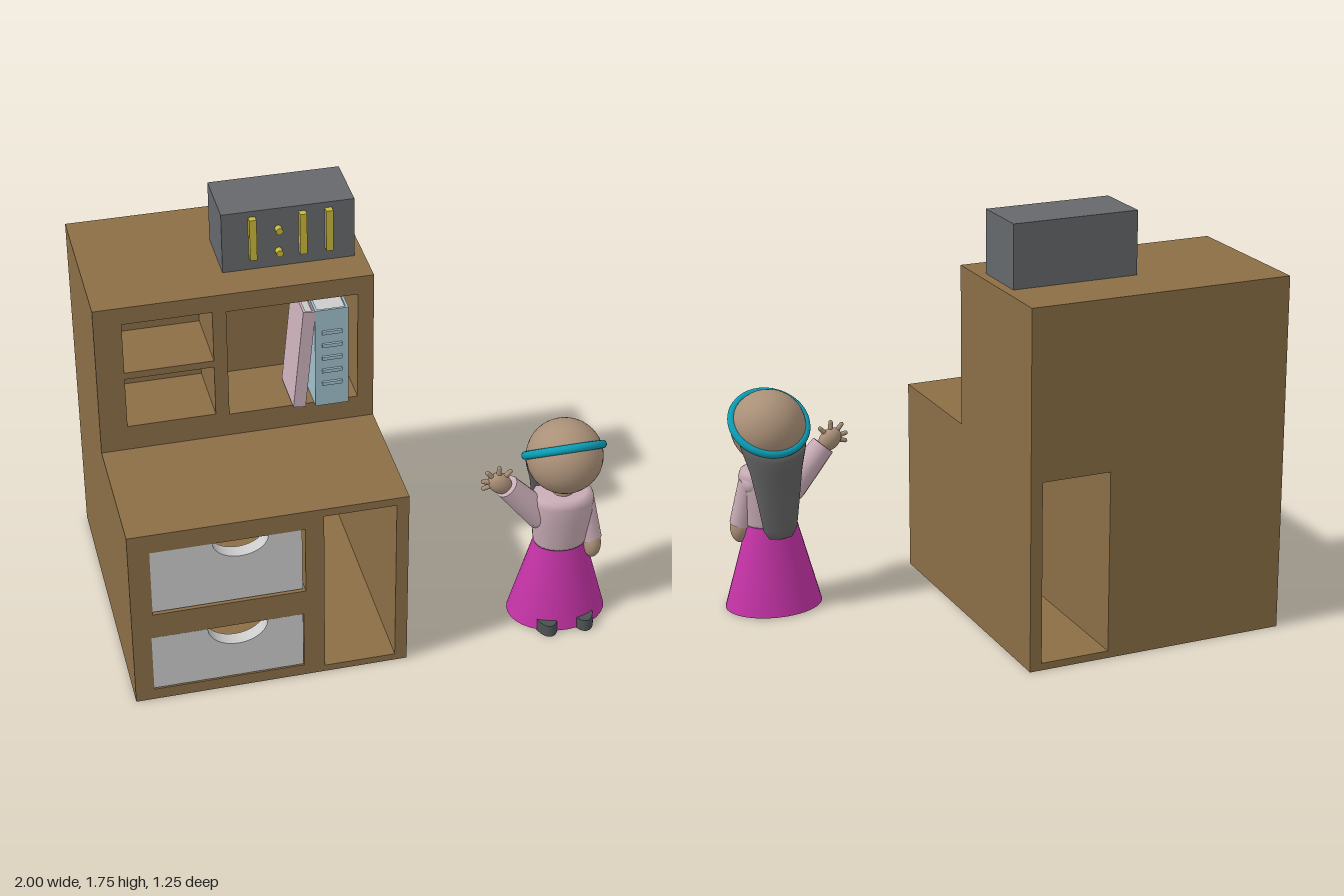
import * as THREE from 'three';

const paint = (color, side = THREE.FrontSide) => new THREE.MeshStandardMaterial({ color, side });
const WOOD = paint(0x8a6e46), GREY = paint(0xcccccc), SLATE = paint(0x65686b), YELLOW = paint(0xc8b83a);
const BLUE = paint(0xa0c0cc), PINK = paint(0xccb0bb), SKIN = paint(0xaa9078), HAIR = paint(0x626262, THREE.DoubleSide);
const BLOUSE = paint(0xc8abb5), SKIRT = paint(0xc433a6), BAND = paint(0x0a9db5), SHOE = paint(0x4c5052);

function add(parent, name, geometry, material, x = 0, y = 0, z = 0) {
  const mesh = new THREE.Mesh(geometry, material);
  mesh.name = name;
  mesh.position.set(x, y, z);
  parent.add(mesh);
  return mesh;
}

// Box given by its limits on each axis
const block = (parent, name, material, [x0, x1], [y0, y1], [z0, z1]) =>
  add(parent, name, new THREE.BoxGeometry(x1 - x0, y1 - y0, z1 - z0), material,
    (x0 + x1) / 2, (y0 + y1) / 2, (z0 + z1) / 2);

const rect = (Type, x0, x1, y0, y1) => new Type().setFromPoints(
  [[x0, y0], [x1, y0], [x1, y1], [x0, y1], [x0, y0]].map(p => new THREE.Vector2(...p)));

// Panel with rectangular openings, spanning z0 to z1
function slab(parent, name, outline, openings, z0, z1) {
  const shape = rect(THREE.Shape, ...outline);
  shape.holes = openings.map(o => rect(THREE.Path, ...o));
  return add(parent, name, new THREE.ExtrudeGeometry(shape, { depth: z1 - z0, bevelEnabled: false }), WOOD, 0, 0, z0);
}

// Tapered round limb from point a to point b
function limb(parent, name, material, a, b, ra, rb, sides = 16) {
  const p = new THREE.Vector3(...a), d = new THREE.Vector3(...b).sub(p);
  const mesh = add(parent, name, new THREE.CylinderGeometry(rb, ra, d.length(), sides), material);
  mesh.position.copy(p).addScaledVector(d, 0.5);
  mesh.quaternion.setFromUnitVectors(new THREE.Vector3(0, 1, 0), d.normalize());
  return mesh;
}

function ball(parent, name, material, pos, scale) {
  const mesh = add(parent, name, new THREE.SphereGeometry(1, 32, 24), material, ...pos);
  mesh.scale.set(...scale);
  return mesh;
}

// Round profile [radius, y], squeezed front to back
function turned(parent, name, material, profile, squeeze, x, z) {
  const geometry = new THREE.LatheGeometry(profile.map(p => new THREE.Vector2(...p)), 32);
  const mesh = add(parent, name, geometry, material, x, 0, z);
  mesh.scale.z = squeeze;
  return mesh;
}

// Closed loft through elliptical rings [y, z, rx, rz, slope]
function loft(rings, n = 28) {
  const pos = [], idx = [];
  for (const [y, z, rx, rz, slope] of rings)
    for (let j = 0; j < n; j++) {
      const a = j / n * Math.PI * 2, dz = rz * Math.sin(a);
      pos.push(rx * Math.cos(a), y + slope * dz, z + dz);
    }
  for (let i = 0; i < rings.length - 1; i++)
    for (let j = 0; j < n; j++) {
      const a = i * n + j, b = i * n + (j + 1) % n;
      idx.push(a, a + n, b, b, a + n, b + n);
    }
  const g = new THREE.BufferGeometry();
  g.setAttribute('position', new THREE.Float32BufferAttribute(pos, 3));
  g.setIndex(idx);
  g.computeVertexNormals();
  return g;
}

function makeCabinet() {
  const g = new THREE.Group();
  g.name = 'cabinet';
  const passage = [-0.23, 0.06, 0.03, 0.785];
  const drawers = [[-0.915, -0.305, 0.43, 0.735], [-0.925, -0.315, 0.05, 0.315]];
  const cubbies = [[-0.89, -0.535, 1.185, 1.41], [-0.89, -0.535, 0.93, 1.155], [-0.48, 0.045, 0.92, 1.405]];
  slab(g, 'lowerCase', [-1, 0.11, 0, 0.82], [passage, ...drawers], -0.5, 0.612);
  slab(g, 'lowerBack', [-1, 0.11, 0, 0.82], [passage], -0.625, -0.5);
  slab(g, 'upperCase', [-1, 0.11, 0.82, 1.485], cubbies, -0.25, 0.045);
  block(g, 'upperBack', WOOD, [-1, 0.11], [0.82, 1.485], [-0.625, -0.25]);

  // Drawer fronts with a scooped finger notch
  const fronts = [[-0.915, -0.317, 0.442, 0.735, -0.56, 0.11, 0.08], [-0.925, -0.317, 0.055, 0.313, -0.58, 0.12, 0.095]];
  for (const [x0, x1, y0, y1, cx, rx, ry] of fronts) {
    const s = new THREE.Shape();
    s.moveTo(x0, y0);
    s.lineTo(x1, y0);
    s.lineTo(x1, y1);
    s.lineTo(cx + rx, y1);
    s.absellipse(cx, y1, rx, ry, 0, Math.PI, true, 0);
    s.lineTo(x0, y1);
    add(g, 'drawerFront', new THREE.ExtrudeGeometry(s, { depth: 0.06, bevelEnabled: false, curveSegments: 24 }), GREY, 0, 0, 0.55);
  }
  return g;
}

// Upright book standing on its lower edge, spine towards +z
function makeBook(name, material, w, h, d) {
  const g = new THREE.Group();
  g.name = name;
  const t = 0.01;
  block(g, 'spine', material, [-w / 2, w / 2], [0, h], [-t, 0]);
  for (const s of [-1, 1])
    add(g, 'cover', new THREE.BoxGeometry(t, h, d), material, s * (w - t) / 2, h / 2, -d / 2 - t);
  block(g, 'pages', GREY, [-w / 2 + t, w / 2 - t], [0.01, h - 0.01], [-d, -t]);
  return g;
}

function makeClock() {
  const g = new THREE.Group();
  g.name = 'clock';
  block(g, 'clockCase', SLATE, [-0.46, 0.07], [1.485, 1.745], [-0.37, -0.111]);
  // Plain raised marks on the face
  for (const x of [-0.34, -0.14, -0.035])
    block(g, 'displayBar', YELLOW, [x - 0.014, x + 0.014], [1.54, 1.72], [-0.111, -0.083]);
  for (const y of [1.555, 1.655]) {
    const dot = add(g, 'displayDot', new THREE.CylinderGeometry(0.014, 0.014, 0.028, 16), YELLOW, -0.235, y, -0.097);
    dot.rotation.x = Math.PI / 2;
  }
  return g;
}

function makeGirl() {
  const g = new THREE.Group();
  g.name = 'girl';
  const X = 0.795;
  // Clothes
  turned(g, 'skirt', SKIRT, [[0, 0.004], [0.205, 0.004], [0.205, 0.004], [0.106, 0.365], [0.106, 0.365], [0, 0.365]], 0.81, X, 0.44);
  turned(g, 'blouse', BLOUSE, [[0, 0.362], [0.108, 0.362], [0.113, 0.375], [0.127, 0.5], [0.131, 0.575], [0.122, 0.6],
    [0.1, 0.608], [0, 0.61]], 0.78, X, 0.45);
  for (const x of [0.719, 0.872]) {
    const shoe = add(g, 'shoe', new THREE.CylinderGeometry(0.046, 0.05, 0.048, 24), SHOE, x, 0.024, 0.53);
    shoe.scale.z = 2;
  }

  // Head, hair and headband
  limb(g, 'neck', SKIN, [X, 0.59, 0.45], [X, 0.68, 0.45], 0.045, 0.045);
  ball(g, 'head', SKIN, [X, 0.778, 0.448], [0.155, 0.153, 0.153]);
  add(g, 'hair', loft([
    [0.325, 0.328, 0.002, 0.002, 0], [0.335, 0.328, 0.05, 0.016, 0], [0.37, 0.33, 0.072, 0.022, 0],
    [0.5, 0.343, 0.092, 0.033, 0], [0.62, 0.364, 0.112, 0.058, 0.1], [0.7, 0.385, 0.134, 0.085, 0.4],
    [0.775, 0.41, 0.15, 0.1, 0.77], [0.775, 0.41, 0.002, 0.002, 0.77]]), HAIR, X);
  const band = add(g, 'headband', new THREE.TorusGeometry(0.155, 0.017, 12, 48), BAND, X, 0.798, 0.436);
  band.rotation.x = Math.PI / 2 - 0.66;

  // Lowered left arm
  ball(g, 'leftShoulder', BLOUSE, [0.882, 0.55, 0.44], [0.045, 0.05, 0.06]);
  limb(g, 'leftSleeve', BLOUSE, [0.918, 0.365, 0.475], [0.885, 0.56, 0.44], 0.046, 0.045);
  ball(g, 'leftHand', SKIN, [0.921, 0.345, 0.482], [0.038, 0.066, 0.047]).rotation.x = -0.15;

  // Raised right arm, waving
  ball(g, 'rightShoulder', BLOUSE, [0.7, 0.51, 0.445], [0.06, 0.07, 0.06]);
  limb(g, 'rightSleeve', BLOUSE, [0.7, 0.505, 0.445], [0.56, 0.665, 0.445], 0.062, 0.05);
  ball(g, 'rightHand', SKIN, [0.53, 0.686, 0.445], [0.055, 0.042, 0.035]).rotation.z = -0.75;
  const fingers = [[0.462, 0.672], [0.46, 0.705], [0.477, 0.745], [0.525, 0.76], [0.572, 0.738]];
  for (const [x, y] of fingers) {
    limb(g, 'finger', SKIN, [0.525, 0.69, 0.445], [x, y, 0.445], 0.013, 0.009, 10);
    ball(g, 'fingertip', SKIN, [x, y, 0.445], [0.009, 0.009, 0.009]).geometry = new THREE.SphereGeometry(1, 10, 8);
  }
  return g;
}

export function createModel() {
  const model = new THREE.Group();
  model.name = 'shopScene';
  model.add(makeCabinet(), makeClock(), makeGirl());

  // Books in the large cubby
  const blue = makeBook('uprightBook', BLUE, 0.135, 0.45, 0.2);
  blue.position.set(-0.067, 0.921, 0.074);
  for (let i = 0; i < 5; i++)
    block(blue, 'spineRib', BLUE, [-0.04, 0.04], [0.1 + i * 0.06, 0.115 + i * 0.06], [0, 0.01]);
  const pink = makeBook('leaningBook', PINK, 0.05, 0.445, 0.2);
  pink.position.set(-0.2, 0.926, 0.072);
  pink.rotation.z = -0.1;
  model.add(blue, pink);
  return model;
}
